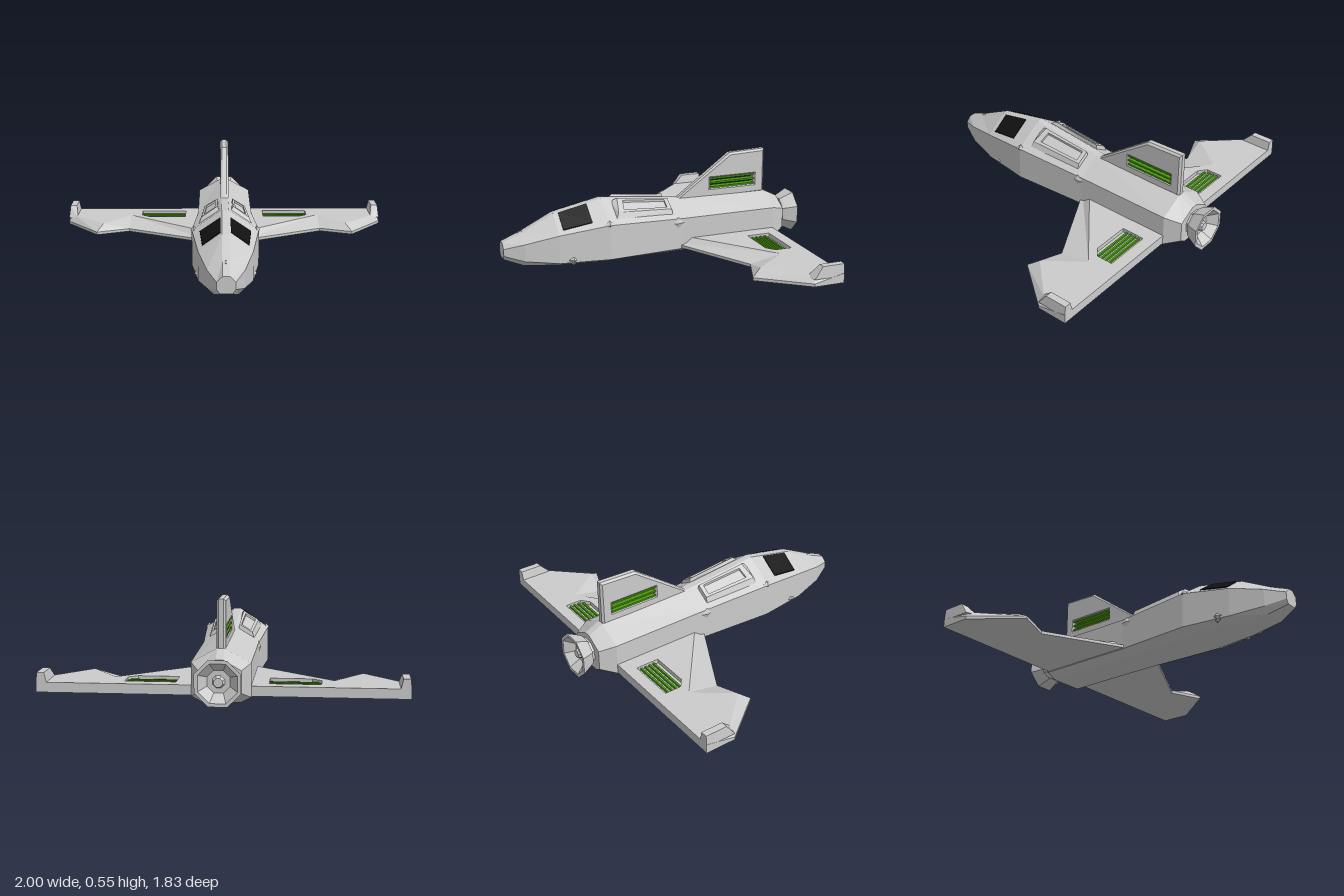
import * as THREE from 'three';
import { mergeGeometries } from 'three/addons/utils/BufferGeometryUtils.js';

const material = (color) => new THREE.MeshStandardMaterial({ color, flatShading: true, side: THREE.DoubleSide });
const grey = material(0xcccccc);
const green = material(0x4c9a10);
const black = material(0x111111);

// Joins rings of corners; rings run counter-clockwise seen from the last one.
function loft(rings, capStart = true, capEnd = true) {
  const n = rings[0].length, index = [];
  for (let i = 0; i < rings.length - 1; i++) {
    for (let j = 0; j < n; j++) {
      const k = (j + 1) % n, a = i * n, b = a + n;
      index.push(a + j, a + k, b + k, a + j, b + k, b + j);
    }
  }
  const last = (rings.length - 1) * n;
  for (let j = 1; j < n - 1; j++) {
    if (capStart) index.push(0, j + 1, j);
    if (capEnd) index.push(last, last + j, last + j + 1);
  }
  const geo = new THREE.BufferGeometry();
  geo.setAttribute('position', new THREE.Float32BufferAttribute(rings.flat(2), 3));
  geo.setIndex(index);
  return plain(geo);
}

// Separate flat triangles with positions and normals only.
function plain(geo) {
  const g = geo.index ? geo.toNonIndexed() : geo;
  g.deleteAttribute('uv');
  g.computeVertexNormals();
  return g;
}

function reverse(geo) {
  const p = geo.attributes.position, a = p.array;
  for (let i = 0; i < a.length; i += 9) {
    for (let k = 0; k < 3; k++) [a[i + k], a[i + 6 + k]] = [a[i + 6 + k], a[i + k]];
  }
  geo.computeVertexNormals();
  return geo;
}

function add(group, name, geo, mat = grey) {
  const mesh = new THREE.Mesh(geo, mat);
  mesh.name = name;
  group.add(mesh);
  return mesh;
}

// Adds a left part and its mirror image.
function addPair(group, name, geo, mat = grey) {
  const left = plain(geo);
  add(group, name + 'Left', left, mat);
  add(group, name + 'Right', reverse(left.clone().scale(-1, 1, 1)), mat);
}

function box(w, h, d, x, y, z) {
  return new THREE.BoxGeometry(w, h, d).translate(x, y, z);
}

// Hull sections: z, half width, belly y, lower edge y, shoulder y, ridge y
const ridge = 0.02;
const sections = [
  [-0.82, 0.115, 0.045, 0.07, 0.19, 0.245],
  [-0.73, 0.16, 0, 0.03, 0.215, 0.29],
  [-0.14, 0.16, 0, 0.03, 0.215, 0.30],
  [0.32, 0.19, 0, 0.03, 0.235, 0.35],
  [0.61, 0.15, 0.004, 0.03, 0.195, 0.29],
  [0.8, 0.10, 0.015, 0.05, 0.15, 0.195],
  [0.91, 0.05, 0.055, 0.08, 0.12, 0.15],
];

function roofY(x, z) {
  const i = sections.findIndex((s) => s[0] >= z);
  const a = sections[i - 1], b = sections[i], t = (z - a[0]) / (b[0] - a[0]);
  const [, w, , , shoulder, top] = a.map((v, k) => v + (b[k] - v) * t);
  return top + (shoulder - top) * (x - ridge) / (w - ridge);
}

const onRoof = (points, lift) => points.map(([x, z]) => [x, roofY(x, z) + lift, z]);
// Plan points are [x, distance towards the tail]
const atHeight = (points, y) => points.map(([x, s]) => [x, y, -s]);
const vectors = (points) => points.map(([x, y]) => new THREE.Vector2(x, y));

function addHull(group) {
  add(group, 'hull', loft(sections.map(([z, w, belly, low, shoulder, top]) => [
    [w * 0.65, belly, z], [w, low, z], [w, shoulder, z], [ridge, top, z],
    [-ridge, top, z], [-w, shoulder, z], [-w, low, z], [-w * 0.65, belly, z],
  ])));

  const pane = [[0.028, 0.58], [0.128, 0.58], [0.143, 0.41], [0.028, 0.41]];
  addPair(group, 'cockpitWindow', loft([onRoof(pane, -0.01), onRoof(pane, 0.006)]), black);

  // Raised roof housings with a sunken panel
  const base = [[0.03, 0.27], [0.155, 0.27], [0.135, -0.09], [0.04, -0.09]];
  const rim = [[0.045, 0.23], [0.135, 0.25], [0.12, -0.085], [0.045, -0.085]];
  const panel = [[0.06, 0.2], [0.118, 0.21], [0.108, -0.06], [0.055, -0.06]];
  addPair(group, 'roofHousing', loft([
    onRoof(base, -0.01), onRoof(rim, 0.025), onRoof(panel, 0.025), onRoof(panel, 0.012),
  ]));

  // Small faceted thruster studs
  const stud = (sx, sy, sz, x, y, z) =>
    new THREE.OctahedronGeometry(1).scale(sx, sy, sz).translate(x, y, z);
  addPair(group, 'shoulderStud', stud(0.018, 0.026, 0.032, 0.178, 0.235, 0.32));
  addPair(group, 'lowerStud', stud(0.022, 0.035, 0.045, 0.15, 0.045, 0.53));
  addPair(group, 'rearStud', stud(0.012, 0.035, 0.04, 0.16, 0.19, -0.11));
  add(group, 'noseStud', stud(0.03, 0.015, 0.025, 0, 0.19, 0.795));
}

function addWings(group) {
  const outline = [[0.1, 0.098], [0.6, 0.365], [0.795, 0.285], [1, 0.55], [1, 0.73], [0.1, 0.73]];
  const deck = [[0.1, 0.152], [0.6, 0.555], [0.76, 0.345], [0.965, 0.56], [1, 0.73], [0.1, 0.73]];
  const vent = [[0.25, 0.52], [0.48, 0.52], [0.53, 0.56], [0.53, 0.66], [0.25, 0.66]];

  // Flat underside, bevelled leading edge, deck with a sunken vent
  const deckShape = new THREE.Shape(vectors(deck));
  deckShape.holes.push(new THREE.Path(vectors(vent)));
  const flat = (shape, y) => plain(new THREE.ShapeGeometry(shape).rotateX(-Math.PI / 2).translate(0, y, 0));
  addPair(group, 'wing', mergeGeometries([
    loft([atHeight(outline, 0.035), atHeight(outline, 0.052), atHeight(deck, 0.09)], false, false),
    flat(deckShape, 0.09),
    reverse(flat(new THREE.Shape(vectors(outline)), 0.035)),
    loft([atHeight(vent, 0.09), atHeight(vent, 0.065)], false, true),
  ]));

  // Vent slats
  for (let i = 0; i < 4; i++) {
    const s = 0.55 + i * 0.027;
    const w = i === 0 ? 0.265 : 0.28;
    addPair(group, 'wingVentStrip', box(w, 0.012, 0.012, 0.25 + w / 2, 0.072, -s), green);
  }

  // Upturned tips
  const foot = [[0.94, 0.53], [1, 0.55], [1, 0.73], [0.94, 0.73]];
  const top = [[0.955, 0.6], [0.995, 0.6], [0.995, 0.73], [0.955, 0.73]];
  addPair(group, 'winglet', loft([atHeight(foot, 0.075), atHeight(top, 0.143)]));
}

function addFin(group) {
  const shape = new THREE.Shape(vectors([[0.14, 0.28], [0.73, 0.28], [0.73, 0.553], [0.5, 0.545]]));
  shape.holes.push(new THREE.Path(vectors([[0.375, 0.342], [0.375, 0.398], [0.66, 0.398], [0.66, 0.342]])));
  const fin = new THREE.ExtrudeGeometry(shape, {
    depth: 0.026, bevelThickness: 0.012, bevelSize: 0.012, bevelOffset: -0.012, bevelSegments: 1,
  });
  add(group, 'tailFin', plain(fin.translate(0, 0, -0.013).rotateY(Math.PI / 2)));
  for (const y of [0.342, 0.37, 0.398]) {
    add(group, 'finVentSlat', box(0.044, 0.01, 0.296, 0, y, -0.5175), green);
  }
}

function addEngine(group) {
  // Eight-sided hollow nozzle with neck and inner hub
  const profile = [
    [0, 0.8], [0.075, 0.8], [0.075, 0.835], [0.09, 0.838], [0.1, 0.855], [0.132, 0.92],
    [0.112, 0.92], [0.065, 0.865], [0.035, 0.865], [0.025, 0.895], [0, 0.895],
  ];
  const nozzle = new THREE.LatheGeometry(vectors(profile), 8, Math.PI / 8);
  add(group, 'engineNozzle', plain(nozzle.rotateX(-Math.PI / 2).translate(0, 0.14, 0)));
}

export function createModel() {
  const group = new THREE.Group();
  group.name = 'spacecraft';
  addHull(group);
  addWings(group);
  addFin(group);
  addEngine(group);
  return group;
}
